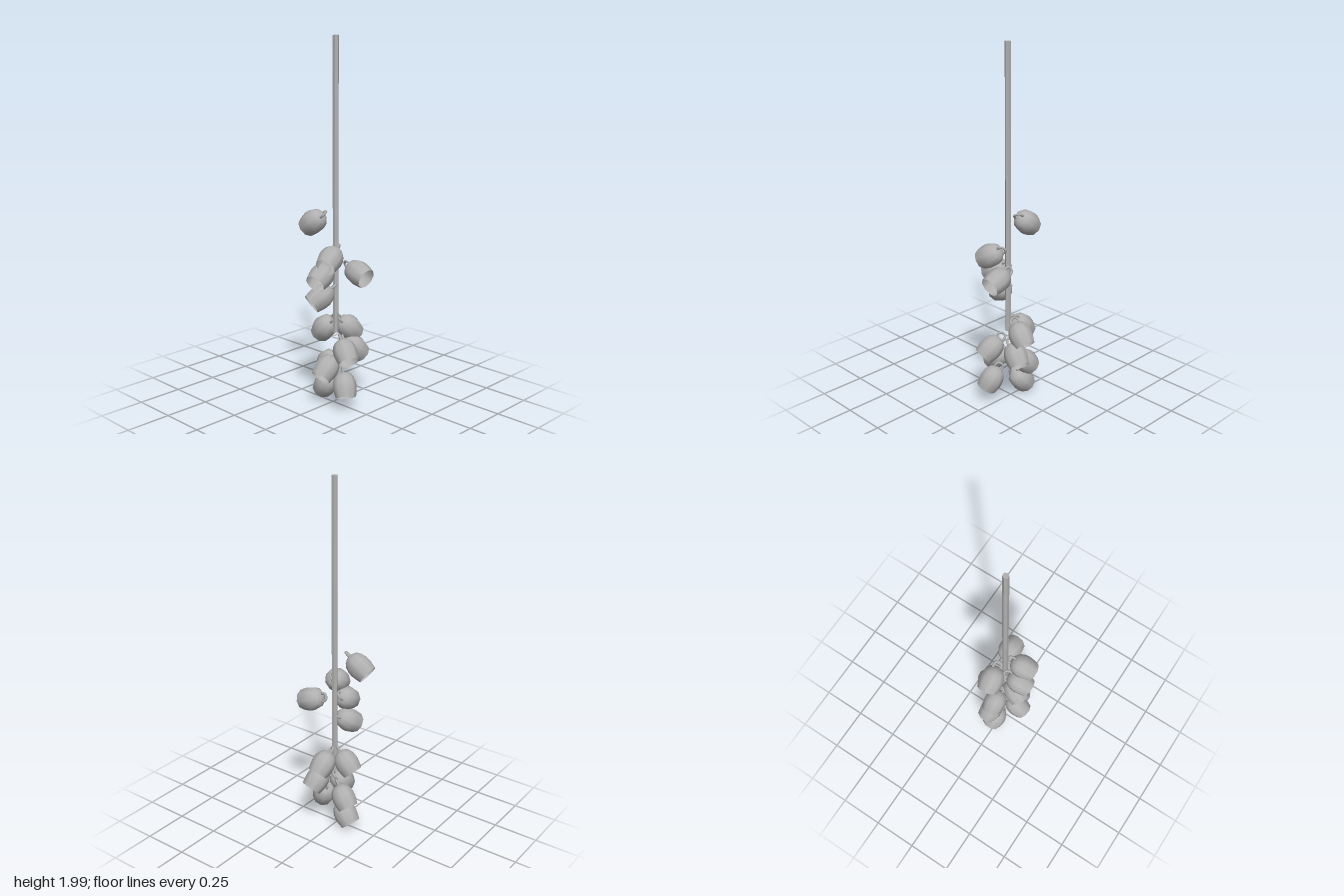
import * as THREE from 'three';

// Each cup: [hanging point, centre of the open rim, twist of the loop]
const CUPS = [
  [[-0.005, 1.085, -0.035], [-0.018, 0.975, -0.183], 0.6],
  [[0.005, 0.91, 0.045], [-0.14, 0.82, 0.08], 0.8],
  [[-0.01, 0.805, 0.0], [-0.155, 0.722, 0.02], 0.8],
  [[0.0, 0.695, 0.03], [-0.135, 0.597, -0.03], 0.8],
  [[0.045, 0.81, 0.03], [0.045, 0.745, 0.2], 1.2],
  [[0.025, 0.505, 0.01], [0.145, 0.38, 0.03], 0.8],
  [[0.03, 0.395, 0.04], [0.147, 0.272, 0.075], 0.8],
  [[0.01, 0.505, 0.0], [0.012, 0.377, -0.115], 0.8],
  [[0.02, 0.3, 0.0], [0.05, 0.168, -0.114], 0.8],
  [[0.005, 0.178, 0.005], [0.02, 0.046, -0.108], 0.8],
  [[0.0, 0.415, 0.045], [-0.05, 0.295, 0.165], 0.8],
  [[0.0, 0.243, 0.07], [-0.05, 0.09, 0.145], 0.8],
  [[0.0, 0.31, 0.03], [-0.127, 0.195, 0.03], 0.8],
];

export function createModel() {
  const model = new THREE.Group();
  model.name = 'hangingCups';
  const grey = new THREE.MeshStandardMaterial({ color: 0xb0b0b0, side: THREE.DoubleSide });
  grey.name = 'plain grey';
  const rodGrey = grey.clone();
  rodGrey.flatShading = true;

  // Straight faceted rod
  const rod = new THREE.Mesh(new THREE.CylinderGeometry(0.016, 0.016, 1.58, 6), rodGrey);
  rod.position.set(0, 1.21, 0.02);
  rod.name = 'rod';
  model.add(rod);

  // Hollow cup opening downward, measured from its hanging point
  const profile = [
    [0.056, -0.175], [0.062, -0.148], [0.066, -0.12], [0.064, -0.095],
    [0.055, -0.067], [0.04, -0.049], [0.02, -0.039], [0, -0.037],
  ].map(([r, y]) => new THREE.Vector2(r, y));
  const bodyGeometry = new THREE.LatheGeometry(profile, 9);

  // Arched carrying loop on the closed end
  const arch = new THREE.CatmullRomCurve3([
    [-0.018, -0.05], [-0.022, -0.028], [-0.014, -0.011], [0, -0.007],
    [0.014, -0.011], [0.022, -0.028], [0.018, -0.05],
  ].map(([x, y]) => new THREE.Vector3(x, y, 0)));
  const loopGeometry = new THREE.TubeGeometry(arch, 14, 0.007, 6);

  const down = new THREE.Vector3(0, -1, 0);
  CUPS.forEach(([top, rim, twist], i) => {
    const cup = new THREE.Group();
    cup.name = `cup${i + 1}`;
    const body = new THREE.Mesh(bodyGeometry, grey);
    body.name = 'cupBody';
    const loop = new THREE.Mesh(loopGeometry, grey);
    loop.name = 'cupLoop';
    loop.rotation.y = twist;
    cup.add(body, loop);
    // Aim the cup along its axis, keeping the rim where it belongs
    const end = new THREE.Vector3(...rim);
    const axis = end.clone().sub(new THREE.Vector3(...top)).normalize();
    cup.quaternion.setFromUnitVectors(down, axis);
    cup.position.copy(end).addScaledVector(axis, -0.175);
    model.add(cup);
  });

  return model;
}
